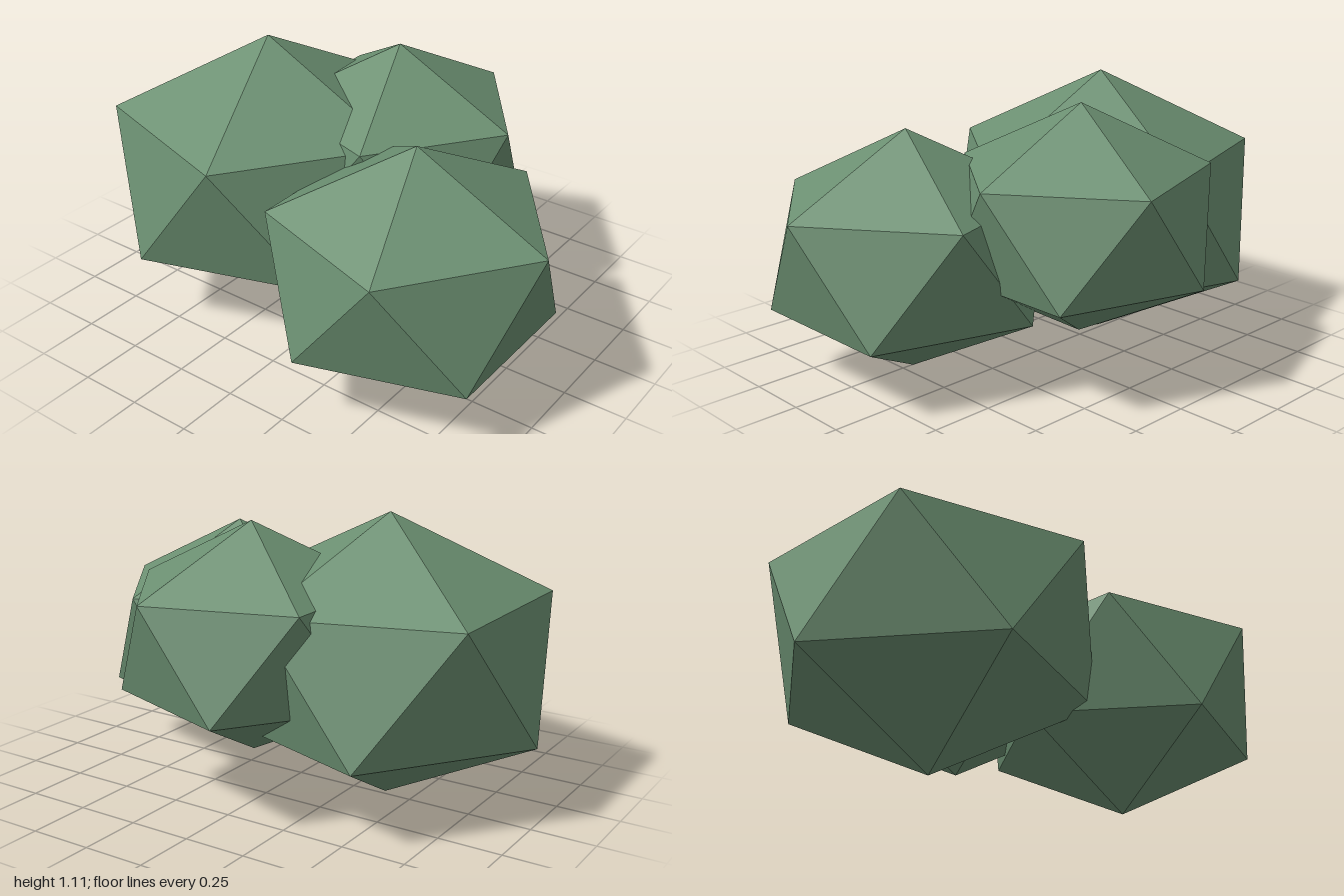
import * as THREE from 'three';

// Twenty-sided ball standing on a corner, radius 1, flat faces
function cornerUpIcosahedron() {
  const y = 1 / Math.sqrt(5), r = 2 / Math.sqrt(5);
  const vertices = [0, 1, 0, 0, -1, 0];
  const faces = [];
  for (let i = 0; i < 5; i++) {
    const a = (i * Math.PI * 2) / 5, b = a + Math.PI / 5;
    vertices.push(r * Math.cos(a), y, r * Math.sin(a)); // upper ring
    vertices.push(r * Math.cos(b), -y, r * Math.sin(b)); // lower ring
    const j = (i + 1) % 5;
    const u = 2 + 2 * i, l = 3 + 2 * i, u2 = 2 + 2 * j, l2 = 3 + 2 * j;
    faces.push(0, u2, u, u, u2, l, l, u2, l2, 1, l, l2);
  }
  return new THREE.PolyhedronGeometry(vertices, faces, 1, 0);
}

export function createModel() {
  const group = new THREE.Group();
  group.name = 'bush';
  const leafGreen = new THREE.MeshStandardMaterial({ color: 0x6b8f71 });
  leafGreen.name = 'leaf green';
  const geometry = cornerUpIcosahedron();

  // Three overlapping clumps, each squashed to 80% height
  const clumps = [
    ['largeClump', -0.38, 0.56, 0.022, 0.693],
    ['frontClump', 0.462, 0.493, 0.233, 0.599],
    ['backClump', 0.042, 0.637, -0.27, 0.559],
  ];
  for (const [name, x, y, z, radius] of clumps) {
    const clump = new THREE.Mesh(geometry, leafGreen);
    clump.name = name;
    clump.position.set(x, y, z);
    clump.scale.set(radius, radius * 0.8, radius);
    group.add(clump);
  }
  return group;
}
